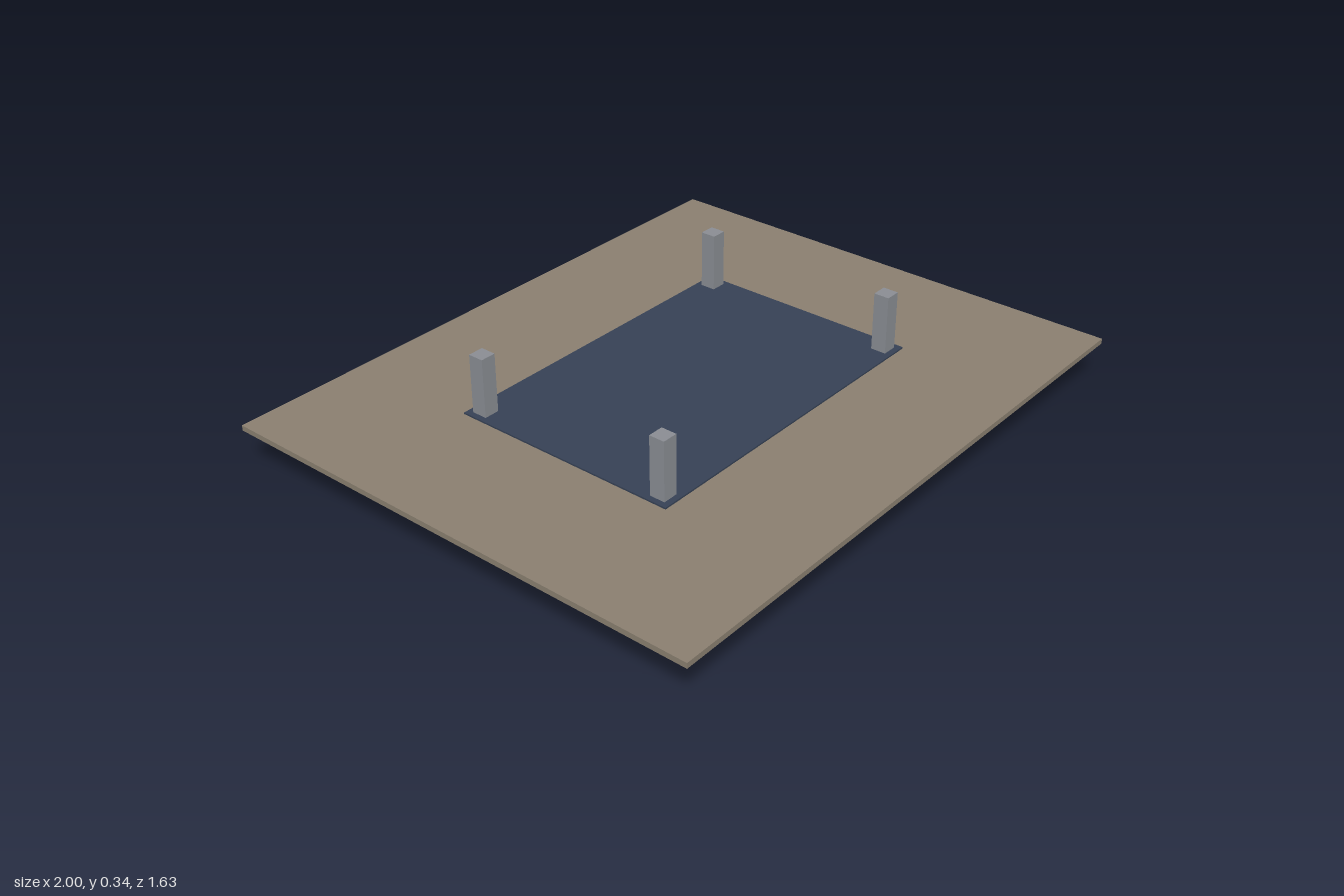
import * as THREE from 'three';

export function createModel() {
  const group = new THREE.Group();
  const mat = (color) => new THREE.MeshStandardMaterial({ color });
  const gold = mat(0xa1852b), grey = mat(0x8a8d93), stone = mat(0x8a7f70), navy = mat(0x364155);

  // Box given by its centre in plan, its size in plan, and its bottom and top heights
  const box = (name, material, x, z, w, d, y0, y1) => {
    const mesh = new THREE.Mesh(new THREE.BoxGeometry(w, y1 - y0, d), material);
    mesh.name = name;
    mesh.position.set(x, (y0 + y1) / 2, z);
    group.add(mesh);
  };

  // Flat slab with a thin inlaid panel
  box('slab', stone, 0, 0, 2, 1.63, 0.13, 0.147);
  box('topPanel', navy, 0, 0, 1.116, 0.752, 0.14, 0.152);

  // Inner plate, its edge showing as a band round the frame
  box('innerPlate', grey, 0, 0, 1.13, 0.77, 0.093, 0.122);

  // Base frame rails
  for (const s of [-1, 1]) {
    box('longRail', gold, 0, s * 0.33, 0.92, 0.1, 0, 0.13);
    box('shortRail', gold, s * 0.51, 0, 0.1, 0.56, 0, 0.13);
  }

  // Notched corners, each with a foot pad and an upright post
  for (const sx of [-1, 1]) {
    for (const sz of [-1, 1]) {
      box('cornerBlockZ', gold, sx * 0.51, sz * 0.347, 0.1, 0.134, 0, 0.13);
      box('cornerBlockX', gold, sx * 0.53, sz * 0.33, 0.14, 0.1, 0, 0.13);
      box('footPad', grey, sx * 0.51, sz * 0.33, 0.1, 0.1, -0.001, 0.02);
      box('post', grey, sx * 0.515, sz * 0.332, 0.05, 0.05, 0.14, 0.34);
    }
  }
  return group;
}
